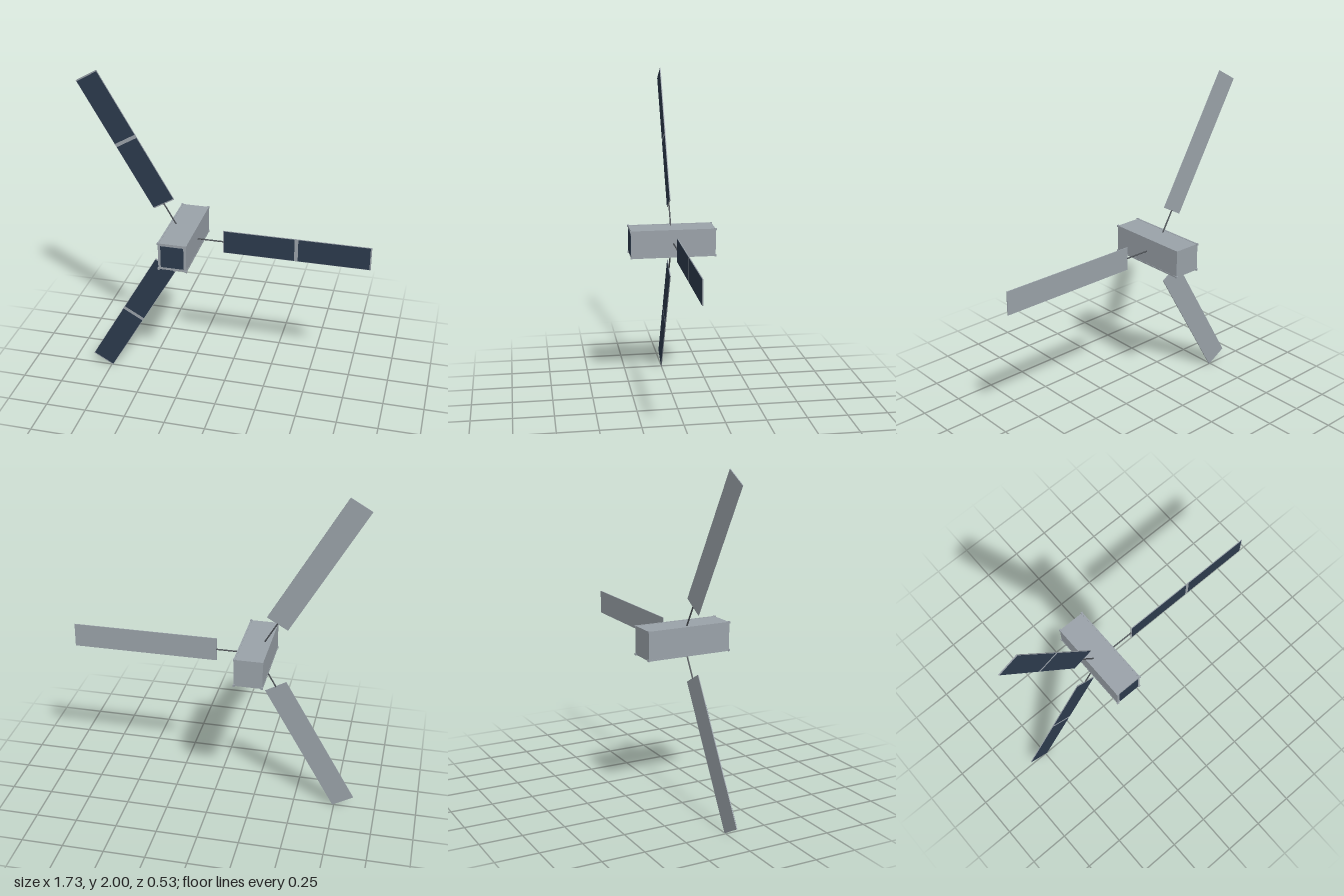
import * as THREE from 'three';

const material = (name, color) => Object.assign(new THREE.MeshStandardMaterial({ color }), { name });

export function createModel() {
  const aluminium = material('aluminium', 0x9aa2a9);
  const cell = material('solar cell blue', 0x2c3a4d);
  const dark = material('dark metal', 0x4b4f54);

  const box = (parent, name, mat, size, pos) => {
    const mesh = new THREE.Mesh(new THREE.BoxGeometry(...size), mat);
    mesh.name = name;
    mesh.position.set(...pos);
    parent.add(mesh);
    return mesh;
  };

  const model = new THREE.Group();
  model.name = 'satellite';
  // everything radiates from the body axis
  const hub = new THREE.Group();
  hub.name = 'hub';
  hub.position.set(-0.247, 1, 0);
  model.add(hub);

  // long square body with a solar cell on its front end
  const half = 0.084, len = 0.516;
  box(hub, 'body', aluminium, [half * 2, half * 2, len], [0, 0, 0]);
  box(hub, 'frontCell', cell, [0.136, 0.136, 0.004], [0, 0, len / 2 + 0.001]);

  // corner rails with small end feet
  for (const sx of [-1, 1]) for (const sy of [-1, 1]) {
    box(hub, 'cornerRail', aluminium, [0.009, 0.009, len], [sx * 0.081, sy * 0.081, 0]);
    for (const sz of [-1, 1])
      box(hub, 'railFoot', aluminium, [0.012, 0.012, 0.012], [sx * 0.0815, sy * 0.0815, sz * 0.257]);
  }

  // three identical arms, 120 degrees apart
  const inner = 0.238, outer = 1.113, width = 0.144, mid = (inner + outer) / 2;
  for (let i = 0; i < 3; i++) {
    const arm = new THREE.Group();
    arm.name = 'panelArm';
    arm.rotation.z = (i * Math.PI * 2) / 3;
    hub.add(arm);

    const strut = new THREE.Mesh(new THREE.CylinderGeometry(0.0043, 0.0043, 0.165, 10), dark);
    strut.name = 'strut';
    strut.rotation.z = Math.PI / 2;
    strut.position.x = 0.16;
    arm.add(strut);

    box(arm, 'panelBacking', aluminium, [outer - inner, width, 0.005], [mid, 0, 0]);
    for (const s of [-1, 1])
      box(arm, 'solarCell', cell, [0.419, width - 0.005, 0.002], [mid + s * 0.2205, 0, 0.003]);
  }
  return model;
}
